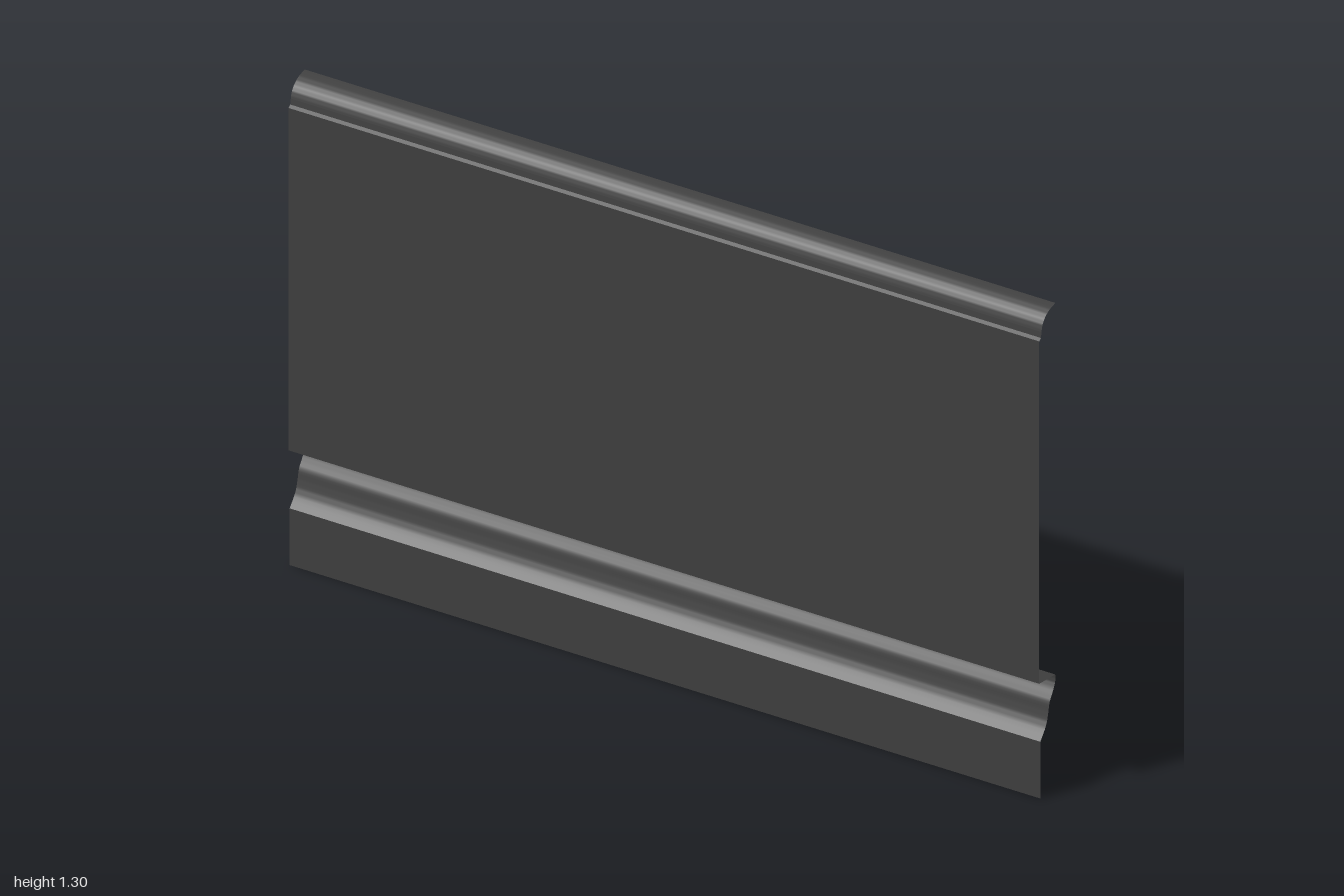
import * as THREE from 'three';
import { toCreasedNormals } from 'three/addons/utils/BufferGeometryUtils.js';

const WIDTH = 2;
const material = new THREE.MeshStandardMaterial({ color: 0x404040, side: THREE.DoubleSide });

// Sweeps a [z, y] section, listed from top to bottom, across the full width
function strip(name, section, samples = 0) {
  let points = section.map(([z, y]) => new THREE.Vector2(z, y));
  if (samples) points = new THREE.SplineCurve(points).getPoints(samples);
  const geometry = new THREE.PlaneGeometry(WIDTH, 1, 1, points.length - 1);
  const pos = geometry.attributes.position;
  for (let i = 0; i < pos.count; i++) {
    const p = points[Math.floor(i / 2)];
    pos.setY(i, p.y);
    pos.setZ(i, p.x);
  }
  const mesh = new THREE.Mesh(toCreasedNormals(geometry, 0.6), material);
  mesh.name = name;
  return mesh;
}

export function createModel() {
  const group = new THREE.Group();
  group.name = 'sidingBoard';
  group.add(
    // rounded lip that bends back over the top edge
    strip('topLip', [[-0.038, 1.3], [-0.012, 1.296], [0.008, 1.286], [0.02, 1.272], [0.025, 1.255]], 14),
    // small step between the lip and the board face
    strip('lipStep', [[0.025, 1.255], [0.027, 1.24], [0.035, 1.235]]),
    // flat upper face
    strip('upperFace', [[0.035, 1.235], [0.035, 0.312]]),
    // ledge running back under the upper face
    strip('ledge', [[0.035, 0.312], [-0.037, 0.299]]),
    // cove sweeping forward to the lower face
    strip('cove', [[-0.037, 0.299], [-0.037, 0.28], [-0.027, 0.26], [-0.012, 0.238],
      [-0.005, 0.21], [0.005, 0.182], [0.03, 0.153]], 24),
    // flat lower face
    strip('lowerFace', [[0.03, 0.153], [0.03, 0]]),
  );
  return group;
}
